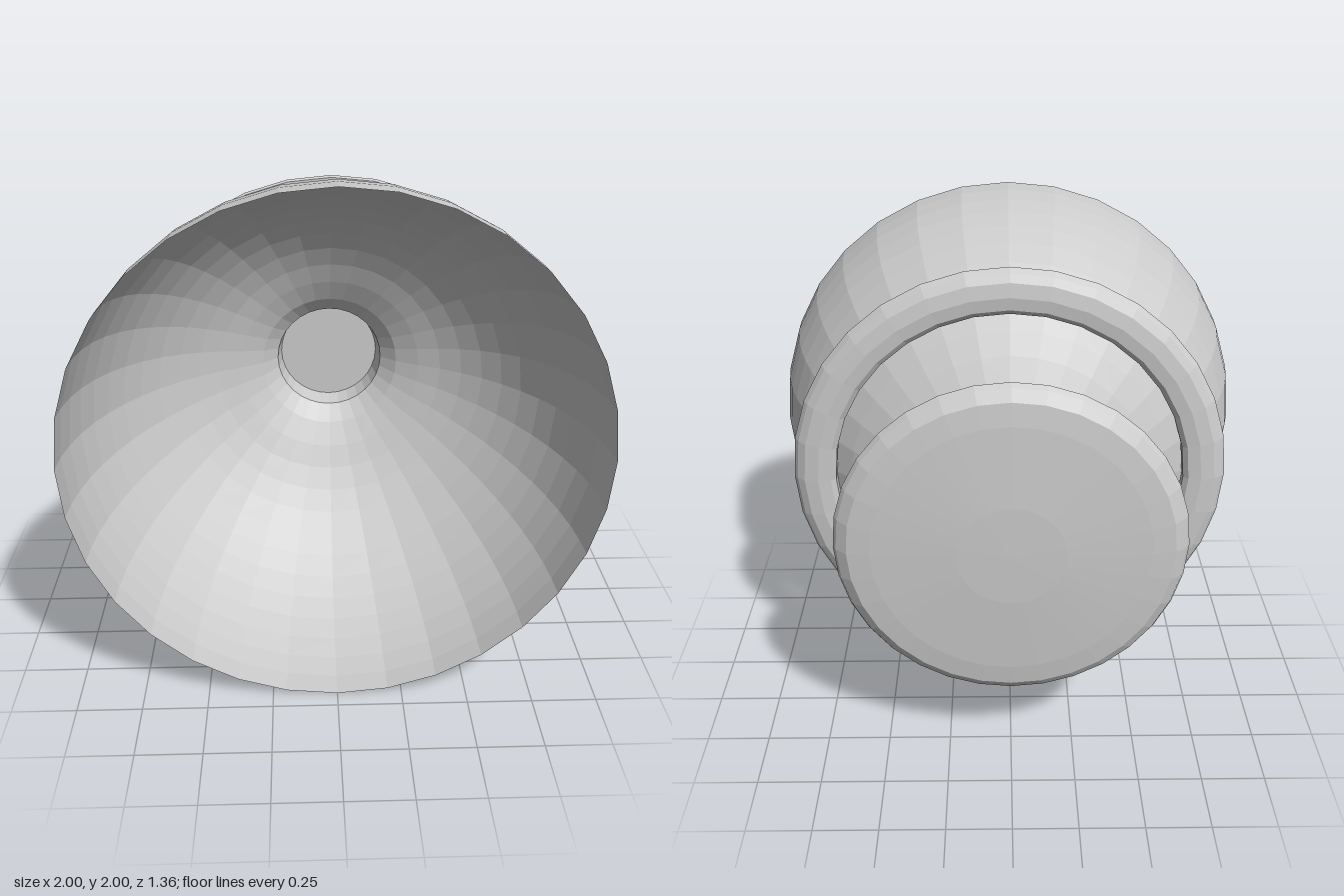
import * as THREE from 'three';

const SIDES = 32;

// Turned part around the z axis; profile is a list of [radius, z], back to front on the outside
function turned(name, profile) {
  const points = profile.map(([r, z]) => new THREE.Vector2(r, z));
  const geometry = new THREE.LatheGeometry(points, SIDES);
  geometry.rotateX(Math.PI / 2);
  const material = new THREE.MeshStandardMaterial({
    color: 0xcccccc, flatShading: true, side: THREE.DoubleSide,
  });
  const mesh = new THREE.Mesh(geometry, material);
  mesh.name = name;
  return mesh;
}

export function createModel() {
  const group = new THREE.Group();
  group.name = 'cup';

  // Open hemispherical shell, flowing from the neck to the rim
  const bowl = [[0.225, -0.355], [0.29, -0.295]];
  const start = THREE.MathUtils.degToRad(22.5);
  const steps = 12;
  for (let i = 0; i <= steps; i++) {
    const a = start + (Math.PI / 2 - start) * (i / steps);
    bowl.push([Math.sin(a), 0.68 - Math.cos(a)]);
  }
  group.add(turned('bowl', bowl));

  // Short neck, closed at the back by the floor seen inside the bowl
  group.add(turned('neck', [[0.21, -0.44], [0.225, -0.355]]));
  group.add(turned('floor', [[0.21, -0.44], [0, -0.44]]));

  // Loose collar around the bowl: flat front, rounded back
  group.add(turned('collar', [
    [0.70, -0.05], [0.70, -0.09], [0.72, -0.108], [0.77, -0.114], [0.825, -0.105],
    [0.855, -0.085], [0.872, -0.06], [0.865, -0.05], [0.70, -0.05],
  ]));

  // Flared foot with a slightly domed back
  group.add(turned('foot', [
    [0, -0.68], [0.2, -0.677], [0.51, -0.658], [0.595, -0.647], [0.635, -0.618],
    [0.648, -0.597], [0.61, -0.58], [0.42, -0.553], [0.275, -0.52], [0.21, -0.44],
  ]));

  group.position.y = 1;
  const model = new THREE.Group();
  model.add(group);
  return model;
}
